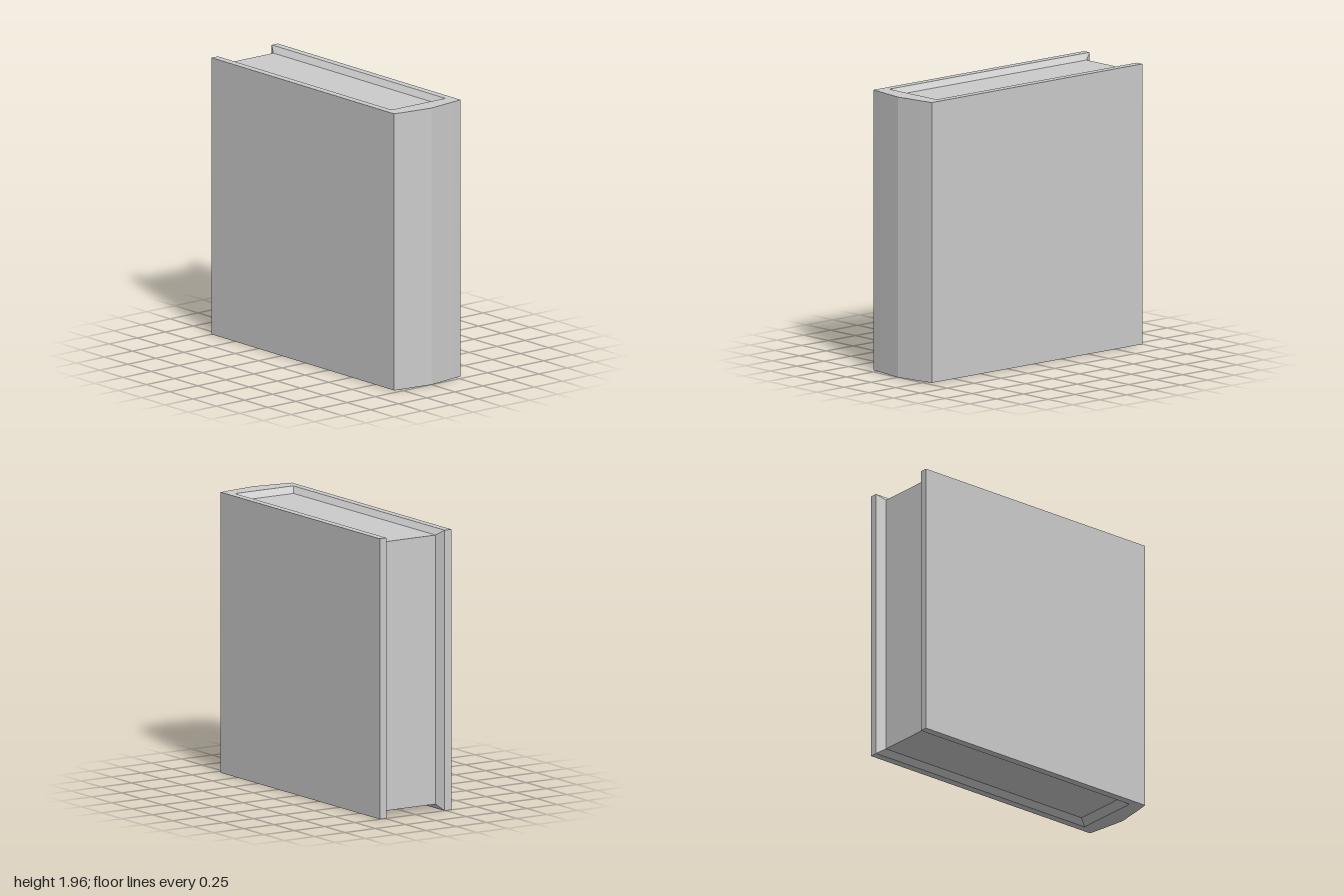
import * as THREE from 'three';

const H = 1.96;      // book height
const DEPTH = 0.04;  // how far the page edges sink below the cover

const material = new THREE.MeshStandardMaterial({ color: 0xcccccc, flatShading: true });

function addMesh(parent, name, geometry) {
  const mesh = new THREE.Mesh(geometry, material);
  mesh.name = name;
  parent.add(mesh);
  return mesh;
}

// Geometry from four-cornered faces, corners counter-clockwise
function facesGeometry(quads) {
  const positions = quads.flatMap(([a, b, c, d]) => [a, b, c, a, c, d].flat());
  const geometry = new THREE.BufferGeometry();
  geometry.setAttribute('position', new THREE.Float32BufferAttribute(positions, 3));
  geometry.computeVertexNormals();
  return geometry;
}

const at = ([x, z], y) => [x, y, z];
const flip = (quad) => [...quad].reverse();

export function createModel() {
  const book = new THREE.Group();
  book.name = 'book';

  // Plan outlines as [x, z]: cover with pointed spine, recess rim, page block
  const cover = [
    [-1, 0.24], [-1, 0.295], [0.955, 0.295], [0.97, 0.21], [1, 0],
    [0.97, -0.21], [0.955, -0.295], [-1, -0.295], [-1, -0.24],
  ];
  const rim = [[-1, -0.24], [0.86, -0.24], [0.86, 0.24], [-1, 0.24]];
  const page = [[-0.94, -0.205], [0.805, -0.205], [0.805, 0.205], [-0.94, 0.205]];

  // Cover boards and spine
  const coverGroup = new THREE.Group();
  coverGroup.name = 'cover';
  book.add(coverGroup);
  const walls = [];
  for (let i = 0; i < cover.length - 1; i++) {
    const p = cover[i], q = cover[i + 1];
    walls.push([at(p, 0), at(q, 0), at(q, H), at(p, H)]);
  }
  addMesh(coverGroup, 'coverWalls', facesGeometry(walls));

  // U-shaped cover edges at top and bottom
  const edgeShape = new THREE.Shape(
    [...cover, rim[1], rim[2]].map(([x, z]) => new THREE.Vector2(x, -z)));
  const topEdge = new THREE.ShapeGeometry(edgeShape).rotateX(-Math.PI / 2).translate(0, H, 0);
  const bottomEdge = new THREE.ShapeGeometry(edgeShape).rotateX(Math.PI / 2);
  addMesh(coverGroup, 'coverTopEdge', topEdge);
  addMesh(coverGroup, 'coverBottomEdge', bottomEdge);

  // Sloped lining between cover and pages
  const low = DEPTH, high = H - DEPTH;
  const slopes = [];
  for (let i = 0; i < 3; i++) {
    const j = i + 1;
    slopes.push([at(rim[i], H), at(page[i], high), at(page[j], high), at(rim[j], H)]);
    slopes.push(flip([at(rim[i], 0), at(page[i], low), at(page[j], low), at(rim[j], 0)]));
  }
  const foreSlope = (i) => [at(rim[i], 0), at(page[i], low), at(page[i], high), at(rim[i], H)];
  slopes.push(foreSlope(0), flip(foreSlope(3)));
  addMesh(book, 'coverLining', facesGeometry(slopes));

  // Page block: top, bottom and fore edge
  const pageLayer = (y) => [at(page[0], y), at(page[3], y), at(page[2], y), at(page[1], y)];
  addMesh(book, 'pages', facesGeometry([
    pageLayer(high),
    flip(pageLayer(low)),
    [at(page[0], low), at(page[3], low), at(page[3], high), at(page[0], high)],
  ]));

  return book;
}
